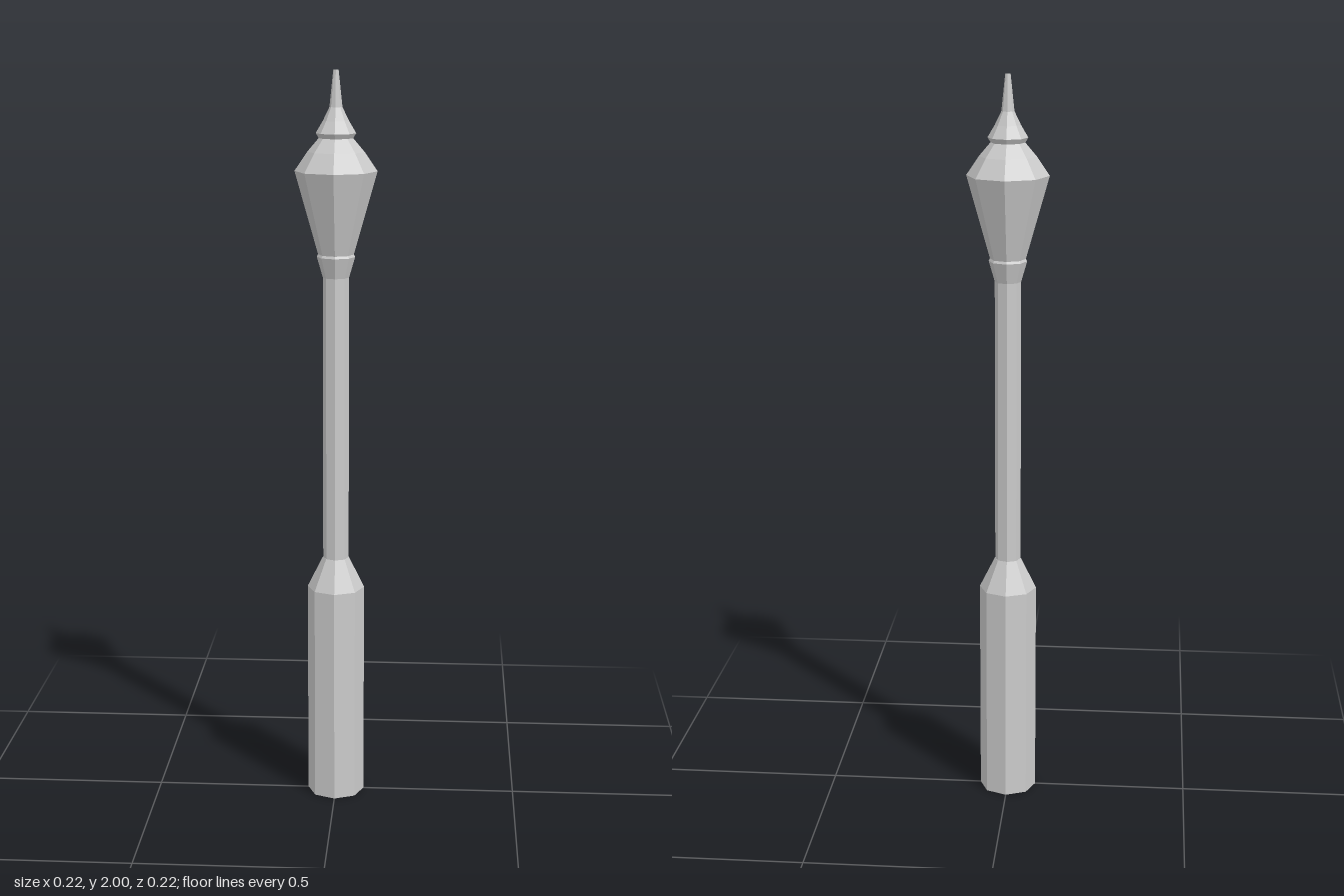
import * as THREE from 'three';

const material = new THREE.MeshStandardMaterial({ color: 0xcccccc, flatShading: true });

// Eight-sided turned part; profile is [radius, height] from bottom to top
function turned(name, profile) {
  const points = profile.map(([r, y]) => new THREE.Vector2(r, y));
  const mesh = new THREE.Mesh(new THREE.LatheGeometry(points, 8), material);
  mesh.name = name;
  return mesh;
}

export function createModel() {
  const group = new THREE.Group();
  group.name = 'ornamentalPost';
  group.add(
    // Thick octagonal foot with a sloped shoulder
    turned('base', [[0, 0], [0.078, 0], [0.078, 0.6], [0.036, 0.685], [0, 0.685]]),
    // Slim pole
    turned('shaft', [[0.035, 0.68], [0.035, 1.465]]),
    // Flared collar under the head, with a small ledge
    turned('collar', [[0, 1.46], [0.035, 1.46], [0.051, 1.515], [0.047, 1.522], [0, 1.522]]),
    // Tapered lantern-shaped head and its roof
    turned('head', [[0.047, 1.52], [0.109, 1.74], [0.075, 1.79], [0.041, 1.83], [0, 1.835]]),
    // Cap and pointed finial
    turned('finial', [[0, 1.825], [0.045, 1.825], [0.053, 1.838], [0.034, 1.87], [0.017, 1.905], [0.007, 2], [0, 2]]),
  );
  return group;
}
